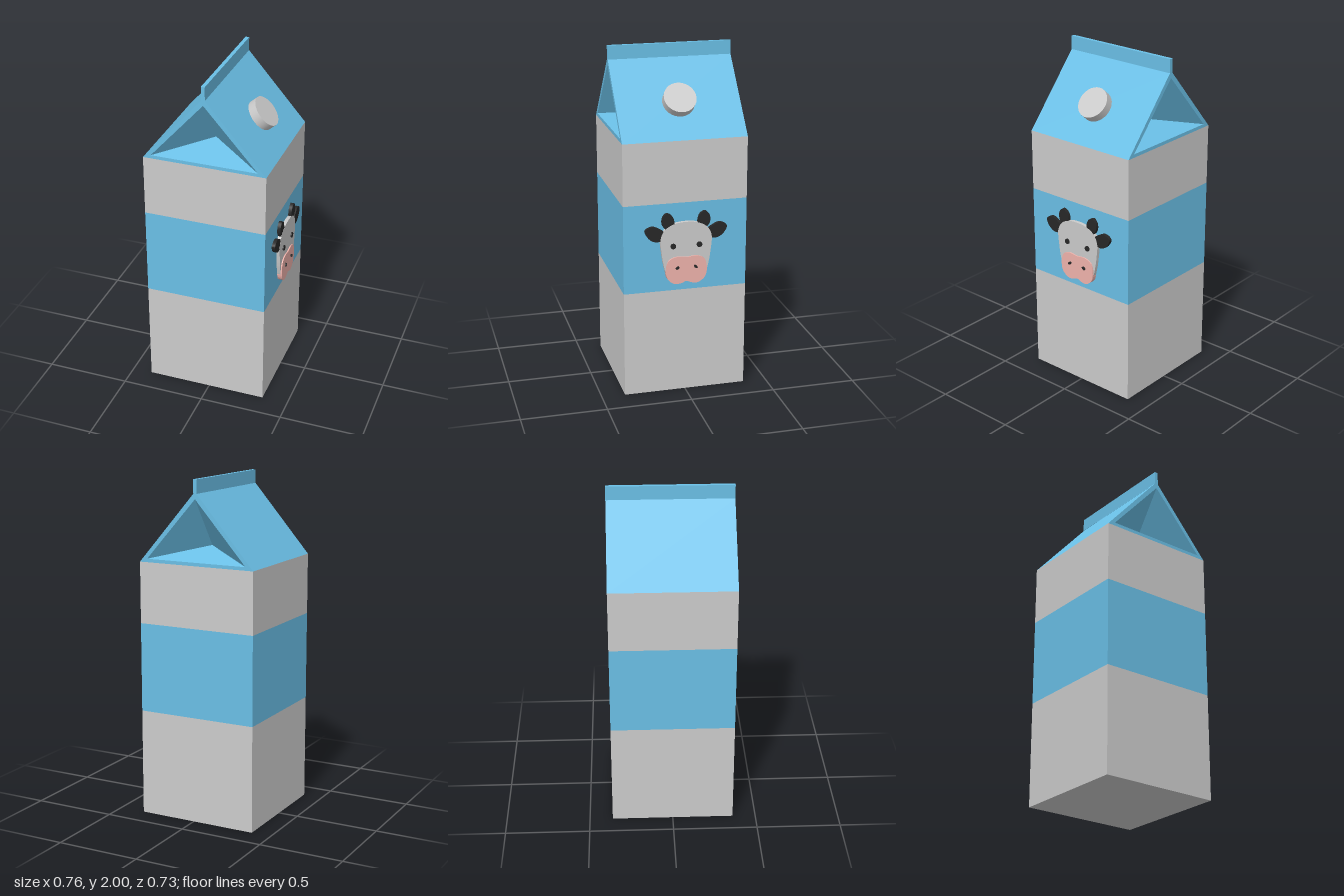
import * as THREE from 'three';

const material = (color) => new THREE.MeshStandardMaterial({ color, side: THREE.DoubleSide });
const GREY = material(0xcccccc);
const BLUE = material(0x6abfe6);
const BLACK = material(0x282828);
const PINK = material(0xf0b3ac);

const HALF = 0.3625;      // half width of the carton
const EAVE = 1.515;       // top of the straight walls
const RIDGE = 1.92;       // where the roof meets the top fin

function addMesh(parent, name, geometry, mat) {
  const mesh = new THREE.Mesh(geometry, mat);
  mesh.name = name;
  parent.add(mesh);
  return mesh;
}

// Flat-shaded surface from corner points listed in triples
function triangles(points) {
  const g = new THREE.BufferGeometry();
  g.setAttribute('position', new THREE.Float32BufferAttribute(points.flat(), 3));
  g.computeVertexNormals();
  return g;
}

// One band of the carton wall
function addBand(parent, name, y0, y1, mat) {
  const band = addMesh(parent, name, new THREE.BoxGeometry(2 * HALF, y1 - y0, 2 * HALF), mat);
  band.position.y = (y0 + y1) / 2;
}

// Gable end: a narrow rim around a folded-in pocket
function createGable() {
  const gable = new THREE.Group();
  const left = [-0.315, 1.535], right = [0.315, 1.535], top = [0, 1.89];
  const rim = new THREE.Shape([
    new THREE.Vector2(-HALF, EAVE), new THREE.Vector2(HALF, EAVE),
    new THREE.Vector2(0.01, RIDGE), new THREE.Vector2(-0.01, RIDGE),
  ]);
  rim.holes.push(new THREE.Path([left, top, right].map((p) => new THREE.Vector2(...p))));
  addMesh(gable, 'gableRim', new THREE.ShapeGeometry(rim), BLUE).position.z = HALF;

  const l = [...left, HALF], r = [...right, HALF], t = [...top, HALF];
  const inner = [0, 1.61, HALF - 0.2];
  addMesh(gable, 'gableFold', triangles([l, r, inner, r, t, inner, t, l, inner]), BLUE);
  return gable;
}

// Sloping roof panel on the +x side
function createSlope() {
  const a = [HALF, EAVE, HALF], b = [HALF, EAVE, -HALF];
  const c = [0.01, RIDGE, -HALF], d = [0.01, RIDGE, HALF];
  return triangles([a, b, c, a, c, d]);
}

// Relief cut from a closed outline, lying on the +x wall
function addRelief(parent, name, outline, depth, mat, smooth = true) {
  const pts = outline.map((p) => new THREE.Vector3(p[0], p[1], 0));
  const path = smooth
    ? new THREE.CatmullRomCurve3(pts, true, 'centripetal').getPoints(48).slice(0, -1)
    : pts;
  const shape = new THREE.Shape(path.map((p) => new THREE.Vector2(p.x, p.y)));
  const geometry = new THREE.ExtrudeGeometry(shape, { depth, bevelEnabled: false });
  geometry.rotateY(Math.PI / 2);
  return addMesh(parent, name, geometry, mat);
}

// Complete a half outline running from top to bottom on the centre line
const mirrored = (half) => [...half, ...half.slice(1, -1).reverse().map(([u, v]) => [-u, v])];

function createCowFace() {
  const cow = new THREE.Group();
  cow.name = 'cowFace';
  cow.position.x = HALF;

  addRelief(cow, 'head', mirrored([
    [0, 1.045], [0.075, 1.035], [0.125, 1.005], [0.15, 0.955], [0.145, 0.87],
    [0.13, 0.78], [0.105, 0.71], [0.06, 0.685], [0, 0.69],
  ]), 0.021, GREY);
  addRelief(cow, 'muzzle', mirrored([
    [0, 0.835], [0.06, 0.84], [0.105, 0.82], [0.121, 0.765], [0.112, 0.71],
    [0.07, 0.677], [0.03, 0.679], [0, 0.69],
  ]), 0.028, PINK);

  for (const [side, s] of [['left', -1], ['right', 1]]) {
    const flip = (pts) => pts.map(([u, v]) => [s * u, v]);
    addRelief(cow, side + 'Ear', flip([
      [0.24, 1.005], [0.2, 1.027], [0.155, 1.01], [0.125, 0.985],
      [0.14, 0.945], [0.18, 0.937], [0.22, 0.96],
    ]), 0.02, BLACK);
    addRelief(cow, side + 'Horn', flip([
      [0.115, 1.1], [0.085, 1.087], [0.07, 1.05], [0.075, 1.015],
      [0.11, 1.0], [0.138, 1.03], [0.138, 1.075],
    ]), 0.02, BLACK);

    const eye = addMesh(cow, side + 'Eye', new THREE.CylinderGeometry(0.016, 0.016, 0.028, 20), BLACK);
    eye.rotation.z = -Math.PI / 2;
    eye.position.set(0.014, 0.905, -s * 0.077);

    // Slanted oval nostril
    const nostril = addMesh(cow, side + 'Nostril', new THREE.CylinderGeometry(0.012, 0.012, 0.036, 16), BLACK);
    nostril.geometry.scale(0.65, 1, 1).rotateZ(-Math.PI / 2);
    nostril.rotation.x = -s * 0.65;
    nostril.position.set(0.018, 0.775, -s * 0.054);
  }
  return cow;
}

export function createModel() {
  const model = new THREE.Group();
  model.name = 'milkCarton';
  const carton = new THREE.Group();
  carton.name = 'carton';
  carton.position.x = -0.0185;
  model.add(carton);

  // Walls
  addBand(carton, 'lowerWall', 0, 0.63, GREY);
  addBand(carton, 'labelBand', 0.63, 1.155, BLUE);
  addBand(carton, 'upperWall', 1.155, EAVE, GREY);

  // Roof: two slopes and two folded gables
  for (const [i, turn] of [0, Math.PI].entries()) {
    addMesh(carton, i ? 'rightRoofSlope' : 'leftRoofSlope', createSlope(), BLUE).rotation.y = turn;
    const gable = createGable();
    gable.name = i ? 'backGable' : 'frontGable';
    gable.rotation.y = turn;
    carton.add(gable);
  }

  // Sealed top fin
  const fin = addMesh(carton, 'topFin', new THREE.BoxGeometry(0.022, 2 - RIDGE, 2 * HALF), BLUE);
  fin.position.y = (2 + RIDGE) / 2;

  // Screw cap square to the slope
  const normal = new THREE.Vector3(RIDGE - EAVE, HALF - 0.01, 0).normalize();
  const cap = addMesh(carton, 'cap', new THREE.CylinderGeometry(0.094, 0.094, 0.08, 32), GREY);
  cap.quaternion.setFromUnitVectors(new THREE.Vector3(0, 1, 0), normal);
  cap.position.set(0.242, 1.733, 0).addScaledVector(normal, -0.04);

  carton.add(createCowFace());
  return model;
}
